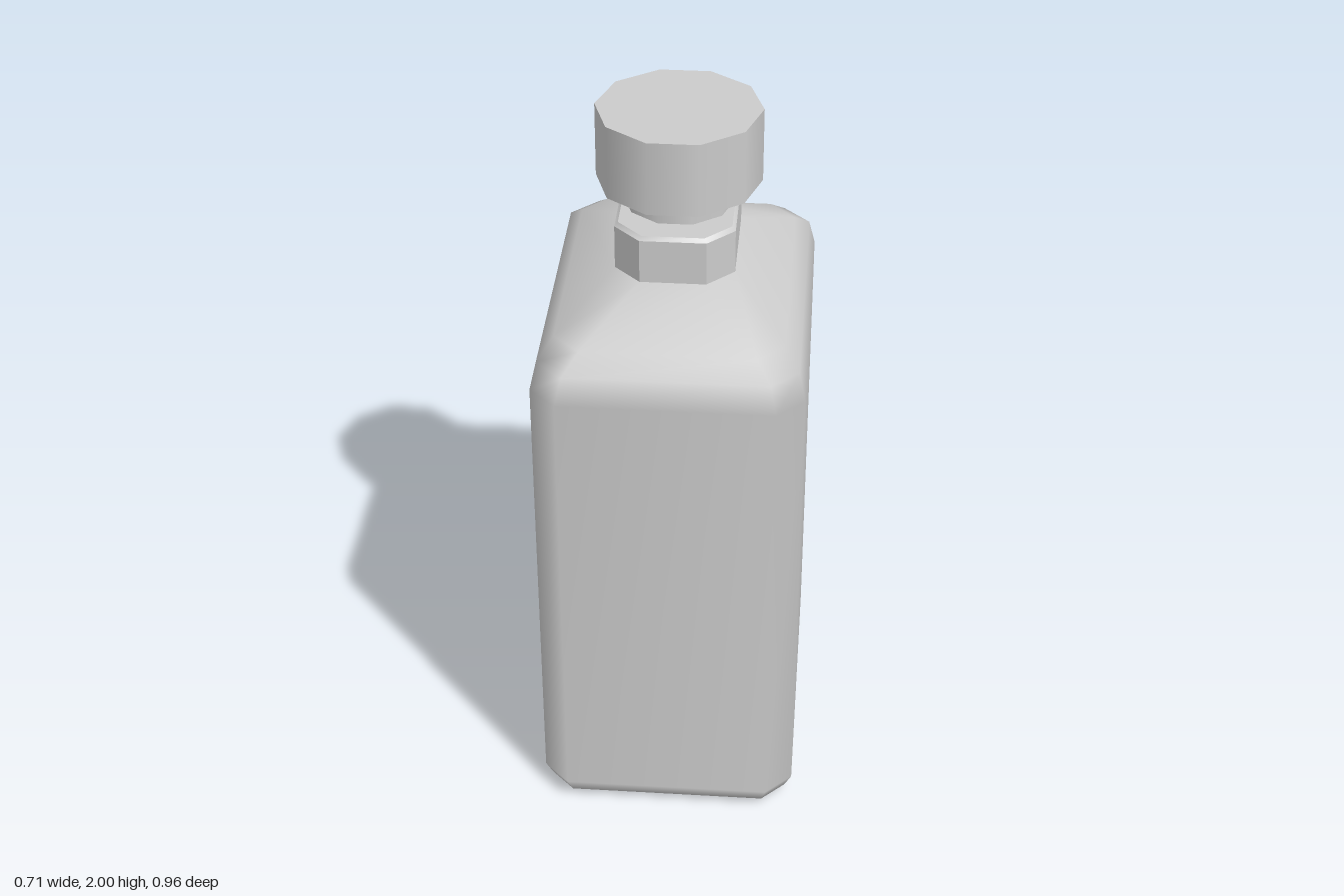
import * as THREE from 'three';
import { toCreasedNormals } from 'three/addons/utils/BufferGeometryUtils.js';

const material = new THREE.MeshStandardMaterial({ color: 0xcccccc });

// Lofts rectangles with cut corners; each section is [y, halfX, halfZ, cornerCut].
function loft(sections) {
  const pos = [], index = [];
  for (const [y, hx, hz, c] of sections) {
    const corners = [
      [hx, -hz + c], [hx, hz - c], [hx - c, hz], [-hx + c, hz],
      [-hx, hz - c], [-hx, -hz + c], [-hx + c, -hz], [hx - c, -hz],
    ];
    for (const [x, z] of corners) pos.push(x, y, z);
  }
  const last = sections.length - 1;
  const bottom = sections.length * 8, top = bottom + 1;
  pos.push(0, sections[0][0], 0, 0, sections[last][0], 0);
  for (let j = 0; j < 8; j++) {
    const k = (j + 1) % 8;
    for (let i = 0; i < last; i++) {
      const a = i * 8 + j, b = i * 8 + k;
      index.push(a, a + 8, b, b, a + 8, b + 8);
    }
    index.push(bottom, j, k, top, last * 8 + k, last * 8 + j);
  }
  const g = new THREE.BufferGeometry();
  g.setAttribute('position', new THREE.Float32BufferAttribute(pos, 3));
  g.setIndex(index);
  g.computeVertexNormals();
  return g;
}

export function createModel() {
  const group = new THREE.Group();
  const add = (name, geometry) => {
    const mesh = new THREE.Mesh(geometry, material);
    mesh.name = name;
    group.add(mesh);
    return mesh;
  };

  // Bottle body with softened base and sloping shoulders
  add('body', loft([
    [0, 0.28, 0.405, 0.05],
    [0.025, 0.338, 0.461, 0.065],
    [0.07, 0.357, 0.481, 0.072],
    [1.38, 0.357, 0.481, 0.072],
    [1.455, 0.34, 0.463, 0.072],
    [1.5, 0.3, 0.405, 0.072],
    [1.6, 0.158, 0.213, 0.071],
  ]));

  // Collar with a fine bevel along its top
  add('collar', toCreasedNormals(loft([
    [1.595, 0.158, 0.213, 0.071],
    [1.722, 0.158, 0.213, 0.071],
    [1.732, 0.149, 0.204, 0.068],
  ]), 0.6));

  // Ten-sided neck and cap, a corner pointing to each side
  for (const [name, radius, y0, y1] of [['neck', 0.147, 1.73, 1.8], ['cap', 0.22, 1.795, 2]]) {
    const g = new THREE.CylinderGeometry(radius, radius, y1 - y0, 10, 1, false, Math.PI / 2);
    add(name, g).position.set(0, (y0 + y1) / 2, -0.004);
  }
  return group;
}
